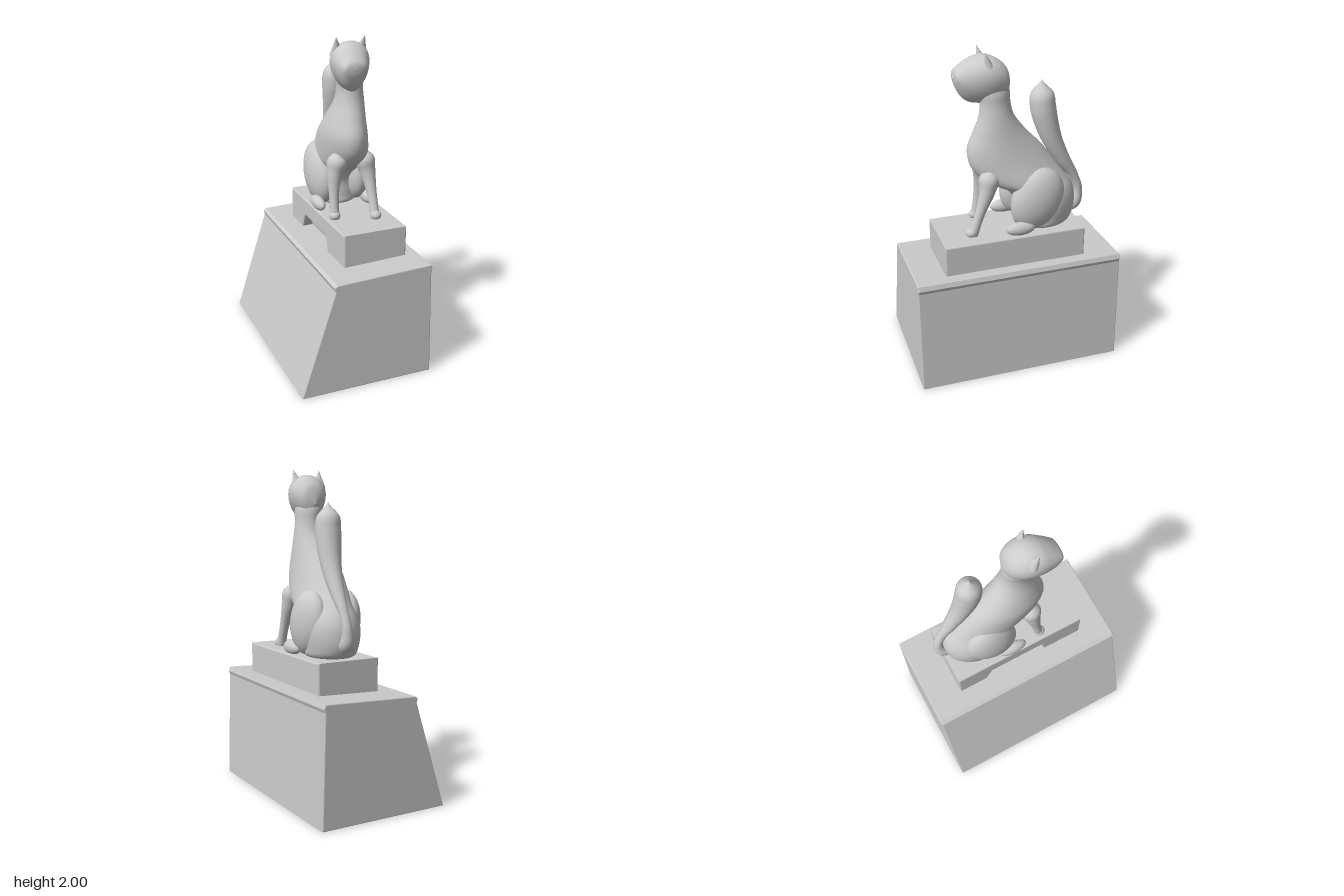
import * as THREE from 'three';

const material = new THREE.MeshStandardMaterial({ color: 0xcccccc });
const V = (x, y, z) => new THREE.Vector3(x, y, z);
const SIDES = 28;

// Smooth interpolation through rows of numbers, u from 0 to 1
function sample(rows, u) {
  const n = rows.length - 1;
  const f = Math.min(u * n, n - 1e-6), i = Math.floor(f), t = f - i;
  const at = k => rows[Math.max(0, Math.min(n, k))];
  return rows[0].map((_, c) => {
    const a = at(i - 1)[c], b = at(i)[c], d = at(i + 1)[c], e = at(i + 2)[c];
    return b + 0.5 * t * (d - a + t * (2 * a - 5 * b + 4 * d - e + t * (3 * (b - d) + e - a)));
  });
}

// Closed skin over rings of points that run anticlockwise about the direction of travel
function skin(rings) {
  const index = [];
  for (let i = 0; i < rings.length - 1; i++) {
    for (let j = 0; j < SIDES; j++) {
      const k = (j + 1) % SIDES;
      const a = i * SIDES + j, b = i * SIDES + k, c = a + SIDES, d = b + SIDES;
      index.push(a, b, d, a, d, c);
    }
  }
  const g = new THREE.BufferGeometry().setFromPoints(rings.flat());
  g.setIndex(index);
  g.computeVertexNormals();
  return g;
}

const ring = fn => Array.from({ length: SIDES }, (_, j) => {
  const a = j / SIDES * Math.PI * 2;
  return fn(Math.cos(a), Math.sin(a));
});

// Limb with a changing radius along a curve
function limb(points, radii, steps = 40) {
  const curve = new THREE.CatmullRomCurve3(points.map(p => V(...p)));
  const { normals, binormals } = curve.computeFrenetFrames(steps);
  const rows = radii.map(r => [r]);
  const rings = [];
  for (let i = 0; i <= steps; i++) {
    const p = curve.getPointAt(i / steps);
    const r = Math.max(0.0005, sample(rows, i / steps)[0]);
    rings.push(ring((c, s) => p.clone().addScaledVector(normals[i], c * r).addScaledVector(binormals[i], s * r)));
  }
  return skin(rings);
}

export function createModel() {
  const model = new THREE.Group();
  const add = (name, geometry, parent = model) => {
    const mesh = new THREE.Mesh(geometry, material);
    mesh.name = name;
    parent.add(mesh);
    return mesh;
  };
  const ellipsoid = (name, pos, size, parent, tilt = 0) => {
    const mesh = add(name, new THREE.SphereGeometry(1, 28, 20), parent);
    mesh.position.set(...pos);
    mesh.scale.set(...size);
    mesh.rotation.x = tilt;
    return mesh;
  };
  const shape = pts => new THREE.Shape(pts.map(p => new THREE.Vector2(...p)));

  // Pedestal: one sloping side and a slight lip round the top
  const pedestal = new THREE.ExtrudeGeometry(shape([
    [-0.415, 0.006], [0.408, 0.006], [0.39, 0.67], [0.397, 0.69], [0.39, 0.712],
    [-0.2, 0.69], [-0.215, 0.68], [-0.208, 0.655],
  ]), { depth: 1.26, bevelSize: 0.006, bevelThickness: 0.006, bevelSegments: 2 });
  add('pedestal', pedestal.translate(0, 0, -0.63));

  // Plinth: solid block, with a recess under its -x edge
  const bevel = { bevelSize: 0.008, bevelThickness: 0.008, bevelSegments: 2 };
  const block = new THREE.ExtrudeGeometry(
    shape([[-0.44, 0.68], [0.42, 0.68], [0.42, 0.893], [-0.44, 0.893]]), { depth: 0.32, ...bevel });
  const edge = new THREE.ExtrudeGeometry(shape([
    [-0.44, 0.68], [-0.2, 0.68], [-0.17, 0.8], [0.2, 0.8], [0.25, 0.68],
    [0.42, 0.68], [0.42, 0.893], [-0.44, 0.893],
  ]), { depth: 0.08, ...bevel });
  const plinth = new THREE.Group();
  plinth.name = 'plinth';
  model.add(plinth);
  // Turned so that the profile runs along -z and the depth along +x
  add('plinthBlock', block.rotateY(Math.PI / 2).translate(-0.008, 0, 0), plinth);
  add('plinthEdge', edge.rotateY(Math.PI / 2).translate(-0.075, 0, 0), plinth);

  const cat = new THREE.Group();
  cat.name = 'cat';
  model.add(cat);

  // Body and neck: [height, back z, front z, centre x, half width]
  const bodyRows = [
    [0.895, -0.2, -0.19, 0.12, 0.005],
    [0.9, -0.36, -0.05, 0.12, 0.13],
    [0.96, -0.41, -0.04, 0.12, 0.155],
    [1.06, -0.42, -0.04, 0.12, 0.165],
    [1.14, -0.4, 0.02, 0.12, 0.16],
    [1.21, -0.355, 0.15, 0.115, 0.15],
    [1.3, -0.29, 0.225, 0.1, 0.14],
    [1.4, -0.21, 0.243, 0.09, 0.13],
    [1.5, -0.115, 0.21, 0.095, 0.11],
    [1.6, -0.04, 0.175, 0.105, 0.088],
    [1.68, -0.015, 0.165, 0.105, 0.078],
    [1.76, -0.01, 0.17, 0.1, 0.08],
    [1.84, 0.02, 0.14, 0.095, 0.06],
  ];
  const bodyRings = [];
  for (let i = 0; i <= 60; i++) {
    const [y, back, front, cx, w] = sample(bodyRows, i / 60);
    bodyRings.push(ring((c, s) => V(cx + w * c, y, (front + back) / 2 - s * (front - back) / 2)));
  }
  add('bodyAndNeck', skin(bodyRings), cat);

  // Head, turned a little to -x: [z, bottom, top, centre x, half width]
  const headRows = [
    [-0.012, 1.79, 1.81, 0.1, 0.005],
    [0.01, 1.72, 1.89, 0.1, 0.065],
    [0.06, 1.69, 1.94, 0.09, 0.1],
    [0.12, 1.68, 1.965, 0.08, 0.115],
    [0.18, 1.685, 1.96, 0.07, 0.11],
    [0.23, 1.695, 1.935, 0.06, 0.095],
    [0.27, 1.73, 1.905, 0.052, 0.08],
    [0.3, 1.79, 1.875, 0.046, 0.058],
    [0.308, 1.835, 1.845, 0.045, 0.006],
  ];
  const headRings = [];
  for (let i = 0; i <= 40; i++) {
    const [z, low, high, cx, w] = sample(headRows, i / 40);
    // Narrower towards the jaw
    headRings.push(ring((c, s) => V(cx + w * c * (1 + 0.25 * s), (low + high) / 2 + s * (high - low) / 2, z)));
  }
  add('head', skin(headRings), cat);

  // Ears
  for (const [name, x, lean] of [['leftEar', 0.157, -0.16], ['rightEar', -0.005, 0.16]]) {
    const ear = add(name, new THREE.ConeGeometry(0.042, 0.11, 16), cat);
    ear.position.set(x, 1.945, 0.135);
    ear.rotation.set(0.3, 0, lean);
    ear.scale.z = 0.8;
  }

  // Front legs and paws
  const radii = [0.01, 0.06, 0.05, 0.038, 0.03, 0.028, 0.03];
  add('leftFrontLeg', limb([[0.165, 1.32, 0.12], [0.195, 1.17, 0.155], [0.205, 1.03, 0.205], [0.207, 0.9, 0.25]], radii), cat);
  add('rightFrontLeg', limb([[0.03, 1.32, 0.12], [-0.01, 1.17, 0.13], [-0.023, 1.03, 0.15], [-0.025, 0.9, 0.17]], radii), cat);
  ellipsoid('leftFrontPaw', [0.207, 0.92, 0.257], [0.034, 0.03, 0.036], cat);
  ellipsoid('rightFrontPaw', [-0.027, 0.92, 0.172], [0.034, 0.03, 0.036], cat);

  // Haunches and hind paws
  for (const [side, s] of [['left', 1], ['right', -1]]) {
    ellipsoid(side + 'Haunch', [0.115 + s * 0.112, 1.095, -0.15], [0.09, 0.2, 0.16], cat, -0.4);
    ellipsoid(side + 'HindPaw', [0.11 + s * 0.165, 0.935, -0.03], [0.036, 0.042, 0.09], cat);
  }

  // Tail: rises from the rump, clear of the back, to a thick rounded end
  add('tail', limb([
    [0.125, 0.96, -0.35], [0.13, 0.99, -0.42], [0.14, 1.08, -0.443], [0.145, 1.18, -0.41],
    [0.145, 1.3, -0.335], [0.14, 1.45, -0.26], [0.13, 1.62, -0.212], [0.125, 1.72, -0.203], [0.125, 1.8, -0.2],
  ], [0.03, 0.045, 0.032, 0.028, 0.032, 0.042, 0.05, 0.058, 0.066, 0.073, 0.076, 0.066, 0.001], 72), cat);

  return model;
}
